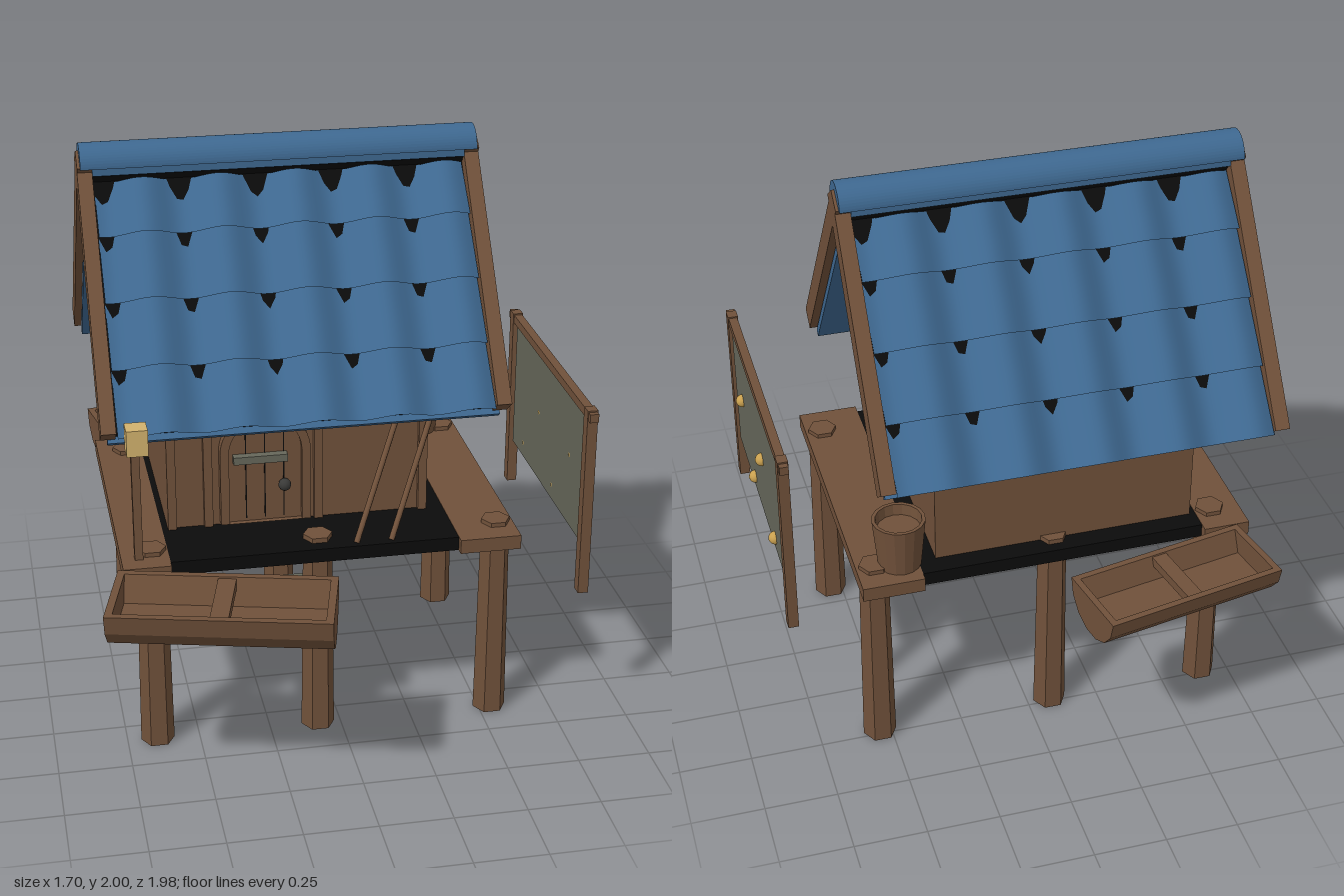
import * as THREE from 'three';

const mat = (name, color) => {
  const m = new THREE.MeshStandardMaterial({ color });
  m.name = name;
  return m;
};

export function createModel() {
  const wood = mat('brown wood', 0x70513a);
  const blue = mat('blue tile', 0x3e6890);
  const black = mat('black board', 0x0b0b0b);
  const slate = mat('grey green board', 0x66675a);
  const gold = mat('gold', 0xc9a04f);
  const glow = mat('pale yellow', 0xd2b26e);
  const iron = mat('dark iron', 0x3a3a38);

  const model = new THREE.Group();
  const add = (name, geo, material, parent = model) => {
    const m = new THREE.Mesh(geo, material);
    m.name = name;
    parent.add(m);
    return m;
  };
  // box given by its lower and upper limits on each axis
  const box = (name, material, x0, x1, y0, y1, z0, z1, parent = model) => {
    const m = add(name, new THREE.BoxGeometry(x1 - x0, y1 - y0, z1 - z0), material, parent);
    m.position.set((x0 + x1) / 2, (y0 + y1) / 2, (z0 + z1) / 2);
  };
  const flat = (geo) => {
    const g = geo.toNonIndexed();
    g.computeVertexNormals();
    return g;
  };
  const poly = (pts) => new THREE.Shape(pts.map(([x, y]) => new THREE.Vector2(x, y)));
  const extrude = (shape, depth) =>
    new THREE.ExtrudeGeometry(shape, { depth, bevelEnabled: false, curveSegments: 12 });

  // Stilts and deck
  for (const x of [-0.645, -0.08, 0.54])
    for (const z of [0.34, -0.48]) {
      const post = add('stilt', flat(new THREE.CylinderGeometry(0.05, 0.058, 0.745, 6)), wood);
      post.geometry.rotateY(Math.PI / 2);
      post.position.set(x, 0.3725, z);
    }
  box('deckFloor', black, -0.66, 0.4, 0.68, 0.728, -0.56, 0.43);
  box('deckEndBoard', wood, 0.39, 0.6, 0.68, 0.73, -0.59, 0.46);
  box('deckEndBoard', wood, -0.75, -0.59, 0.68, 0.73, -0.59, 0.46);
  box('deckBottom', black, -0.7, 0.55, 0.676, 0.68, -0.55, 0.42);
  box('underDeckBar', wood, -0.34, -0.12, 0.645, 0.68, 0.18, 0.25);
  box('step', slate, -0.43, -0.04, 0.5, 0.55, 0.255, 0.437);

  // House body with gables
  const body = add('houseBody', extrude(poly([
    [-0.335, 0.72], [0.335, 0.72], [0.335, 1.35], [0, 1.8], [-0.335, 1.35],
  ]), 0.9), wood);
  body.rotation.y = Math.PI / 2;
  body.position.set(-0.57, 0, -0.155);
  for (const x of [-0.555, -0.43, -0.05, 0.315])
    box('wallBatten', wood, x - 0.015, x + 0.015, 0.73, 1.33, 0.18, 0.2);

  // Arched door with frame, strap and knob
  const arch = (r) => {
    const s = new THREE.Shape();
    s.moveTo(-r, 0.74);
    s.lineTo(r, 0.74);
    s.lineTo(r, 1.0);
    s.absarc(0, 1.0, r, 0, Math.PI, false);
    return s;
  };
  const frame = arch(0.155);
  frame.holes.push(arch(0.125));
  add('doorFrame', extrude(frame, 0.04), wood).position.set(-0.235, 0, 0.175);
  add('door', extrude(arch(0.125), 0.02), wood).position.set(-0.235, 0, 0.175);
  for (const x of [-0.3, -0.235, -0.17])
    box('doorSeam', black, x - 0.002, x + 0.002, 0.75, 1.1, 0.194, 0.197);
  box('doorStrap', slate, -0.345, -0.16, 0.965, 0.992, 0.19, 0.225);
  add('doorKnob', new THREE.SphereGeometry(0.022, 12, 8), iron).position.set(-0.17, 0.875, 0.215);

  // Gable window with panes, sill and open shutters
  box('windowFrame', wood, 0.32, 0.355, 1.05, 1.3, -0.275, -0.035);
  box('windowSill', wood, 0.32, 0.42, 1.04, 1.07, -0.29, -0.02);
  for (const z of [-0.196, -0.114])
    for (const y of [1.12, 1.213])
      box('windowPane', glow, 0.353, 0.36, y - 0.04, y + 0.04, z - 0.035, z + 0.035);
  for (const side of [-1, 1]) {
    const hinge = new THREE.Group();
    hinge.name = 'shutter';
    hinge.position.set(0.345, 1.165, -0.155 + side * 0.125);
    hinge.rotation.y = side * 0.75;
    model.add(hinge);
    box('shutterBoard', blue, -0.008, 0.008, -0.105, 0.105,
      Math.min(0, side * 0.1), Math.max(0, side * 0.1), hinge);
  }

  // Roof slopes: local x along the ridge, y out of the slope, z down the slope
  const lips = [0.297, 0.524, 0.75, 0.977];
  const tileRow = (s0, s1) => {
    const g = new THREE.PlaneGeometry(1.25, 1, 60, 3).rotateX(-Math.PI / 2);
    const p = g.attributes.position;
    for (let i = 0; i < p.count; i++) {
      const x = p.getX(i), t = p.getZ(i) + 0.5;
      const wave = 0.025 * Math.cos(((x + 0.47) / 0.257) * 2 * Math.PI);
      p.setXYZ(i, x, -0.032 + 0.03 * t + wave, s0 + (s1 - s0) * t);
    }
    g.computeVertexNormals();
    return g;
  };
  for (const turn of [0, Math.PI]) {
    const side = new THREE.Group();
    side.name = 'roofSide';
    side.position.set(-0.12, 1.975, -0.155);
    side.rotation.y = turn;
    model.add(side);
    const slope = new THREE.Group();
    slope.name = 'roofSlope';
    slope.rotation.x = Math.atan2(0.8, 0.6);
    side.add(slope);
    lips.forEach((s, i) => add('tileRow', tileRow(i ? s - 0.3 : 0.1, s), blue, slope));
    box('roofUnderlay', black, -0.635, 0.635, -0.08, -0.045, 0.04, 0.955, slope);
    box('roofSoffit', blue, -0.655, 0.655, -0.105, -0.08, 0.08, 0.977, slope);
    for (const x of [-0.655, 0.655])
      box('bargeBeam', wood, x - 0.025, x + 0.025, -0.075, 0, 0.0, 0.965, slope);
  }

  // Ridge cap
  const capShape = new THREE.Shape();
  capShape.absarc(0, 0, 0.072, 0, Math.PI, false);
  const ridge = add('ridgeCap', extrude(capShape, 1.34), blue);
  ridge.rotation.y = Math.PI / 2;
  ridge.position.set(-0.79, 1.928, -0.155);
  box('ridgeBase', blue, -0.75, 0.51, 1.9, 1.93, -0.21, -0.1);

  // Half-barrel troughs
  const trough = (x, y, z, angle, scale) => {
    const g = new THREE.Group();
    g.name = 'trough';
    g.position.set(x, y, z);
    g.rotation.y = angle;
    g.scale.setScalar(scale);
    model.add(g);
    const half = [];
    for (let i = 0; i <= 7; i++) {
      const a = Math.PI + (i / 7) * Math.PI;
      half.push([0.157 * Math.cos(a), 0.157 * Math.sin(a)]);
    }
    const hollow = [[0.132, 0], [0.1, -0.09], [-0.1, -0.09], [-0.132, 0]];
    const piece = (name, pts, x0, length) => {
      const m = add(name, extrude(poly(pts), length).rotateY(Math.PI / 2), wood, g);
      m.position.x = x0;
    };
    piece('troughHull', [...half, ...hollow], -0.335, 0.67);
    piece('troughEnd', half, -0.36, 0.025);
    piece('troughEnd', half, 0.335, 0.025);
    box('troughCrossbar', wood, -0.03, 0.03, -0.04, -0.005, -0.13, 0.13, g);
  };
  trough(-0.46, 0.756, 0.745, -0.245, 1);
  trough(-0.413, 0.737, -0.797, 0.19, 0.89);

  // Notice board with gold knobs
  box('noticeBoard', slate, 0.805, 0.825, 0.69, 1.15, -0.384, 0.437);
  box('boardTopRail', wood, 0.8, 0.83, 1.155, 1.185, -0.475, 0.52);
  for (const z of [0.48, -0.433])
    box('boardPost', wood, 0.797, 0.833, 0.51, 1.19, z - 0.021, z + 0.021);
  for (const [z, y] of [[0.3, 0.94], [-0.07, 0.94], [0.115, 0.74], [-0.25, 0.74]])
    add('boardKnob', new THREE.SphereGeometry(0.023, 14, 10), gold).position.set(0.826, y, z);

  // Lantern on its post
  box('lanternPost', wood, -0.705, -0.677, 0.73, 1.2, 0.37, 0.398);
  box('lanternArm', wood, -0.7, -0.68, 1.175, 1.2, 0.37, 0.43);
  box('lantern', glow, -0.725, -0.655, 1.145, 1.235, 0.415, 0.485);

  // Bucket
  const bucketProfile = [[0, 0], [0.073, 0], [0.09, 0.18], [0.078, 0.18], [0.074, 0.14], [0, 0.14]];
  add('bucket', flat(new THREE.LatheGeometry(bucketProfile.map(([r, y]) => new THREE.Vector2(r, y)), 16)), wood)
    .position.set(0.45, 0.73, -0.478);

  // Poles leaning on the front wall
  for (const x of [0.04, 0.16]) {
    const path = new THREE.LineCurve3(
      new THREE.Vector3(x, 0.73, 0.41), new THREE.Vector3(x + 0.185, 1.09, 0.19));
    add('leaningPole', new THREE.TubeGeometry(path, 1, 0.01, 8), wood);
  }
  return model;
}
